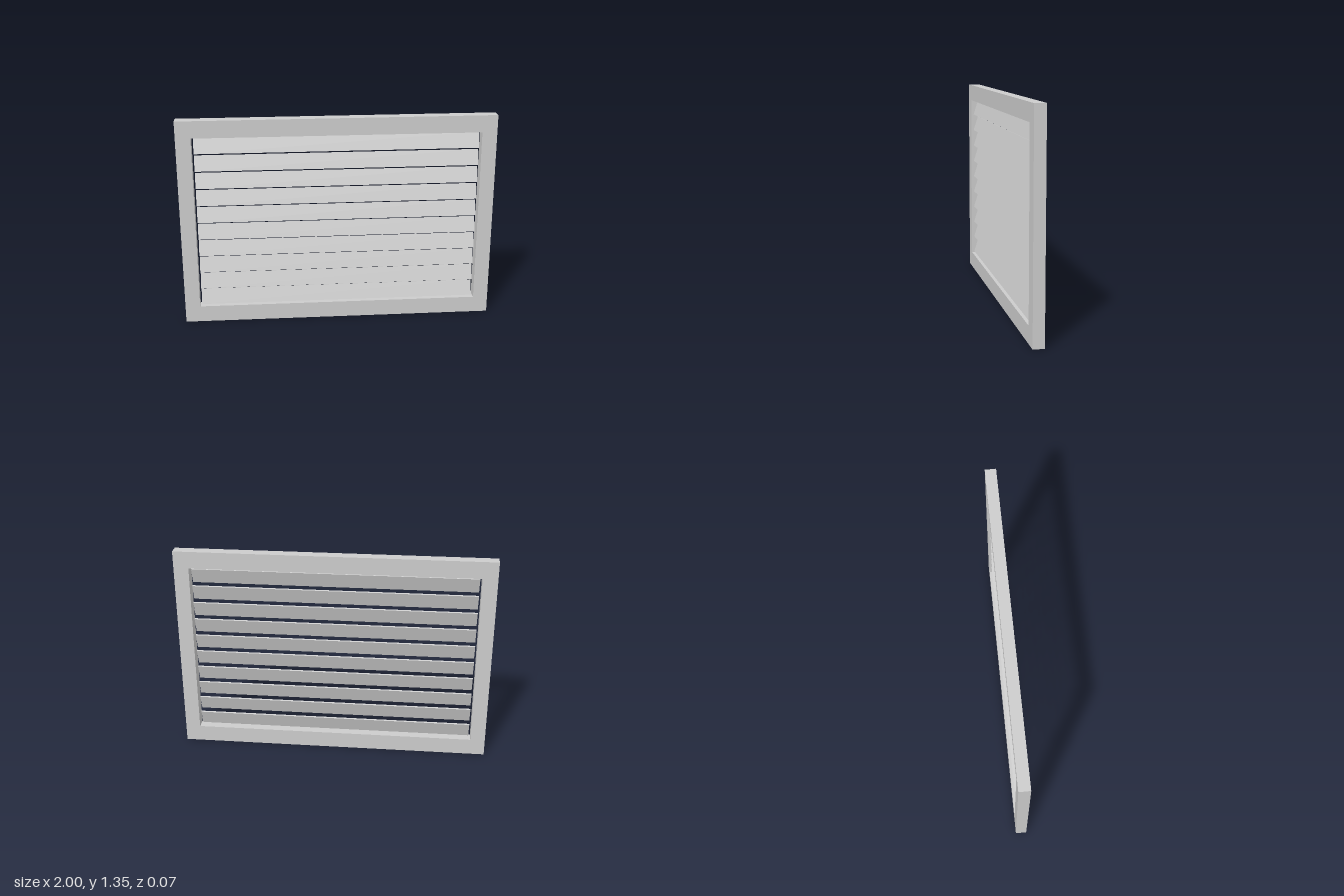
import * as THREE from 'three';

const W = 2, H = 1.35, D = 0.07;          // outer frame
const OPEN_X = 0.905, Y0 = 0.107, Y1 = 1.241; // opening
const COUNT = 10, TILT = THREE.MathUtils.degToRad(17.5);

function rectangle(Kind, x, y0, y1) {
  const r = new Kind();
  r.moveTo(-x, y0);
  r.lineTo(x, y0);
  r.lineTo(x, y1);
  r.lineTo(-x, y1);
  r.closePath();
  return r;
}

export function createModel() {
  const group = new THREE.Group();
  group.name = 'louvredVent';
  const material = new THREE.MeshStandardMaterial({ color: 0xcccccc });

  // Rectangular frame with a through opening
  const outline = rectangle(THREE.Shape, W / 2, 0, H);
  outline.holes.push(rectangle(THREE.Path, OPEN_X, Y0, Y1));
  const frameGeometry = new THREE.ExtrudeGeometry(outline, { depth: D, bevelEnabled: false });
  frameGeometry.translate(0, 0, -D / 2);
  const frame = new THREE.Mesh(frameGeometry, material);
  frame.name = 'frame';
  group.add(frame);

  // Tilted slats, lower edge to the front, with a small gap at each end
  const slats = new THREE.Group();
  slats.name = 'slats';
  const slatGeometry = new THREE.BoxGeometry(1.786, 0.102, 0.01);
  const pitch = (Y1 - Y0) / COUNT;
  for (let i = 0; i < COUNT; i++) {
    const slat = new THREE.Mesh(slatGeometry, material);
    slat.name = `slat${i + 1}`;
    slat.position.y = Y0 + pitch * (i + 0.5);
    slat.rotation.x = -TILT;
    slats.add(slat);
  }
  group.add(slats);

  return group;
}
